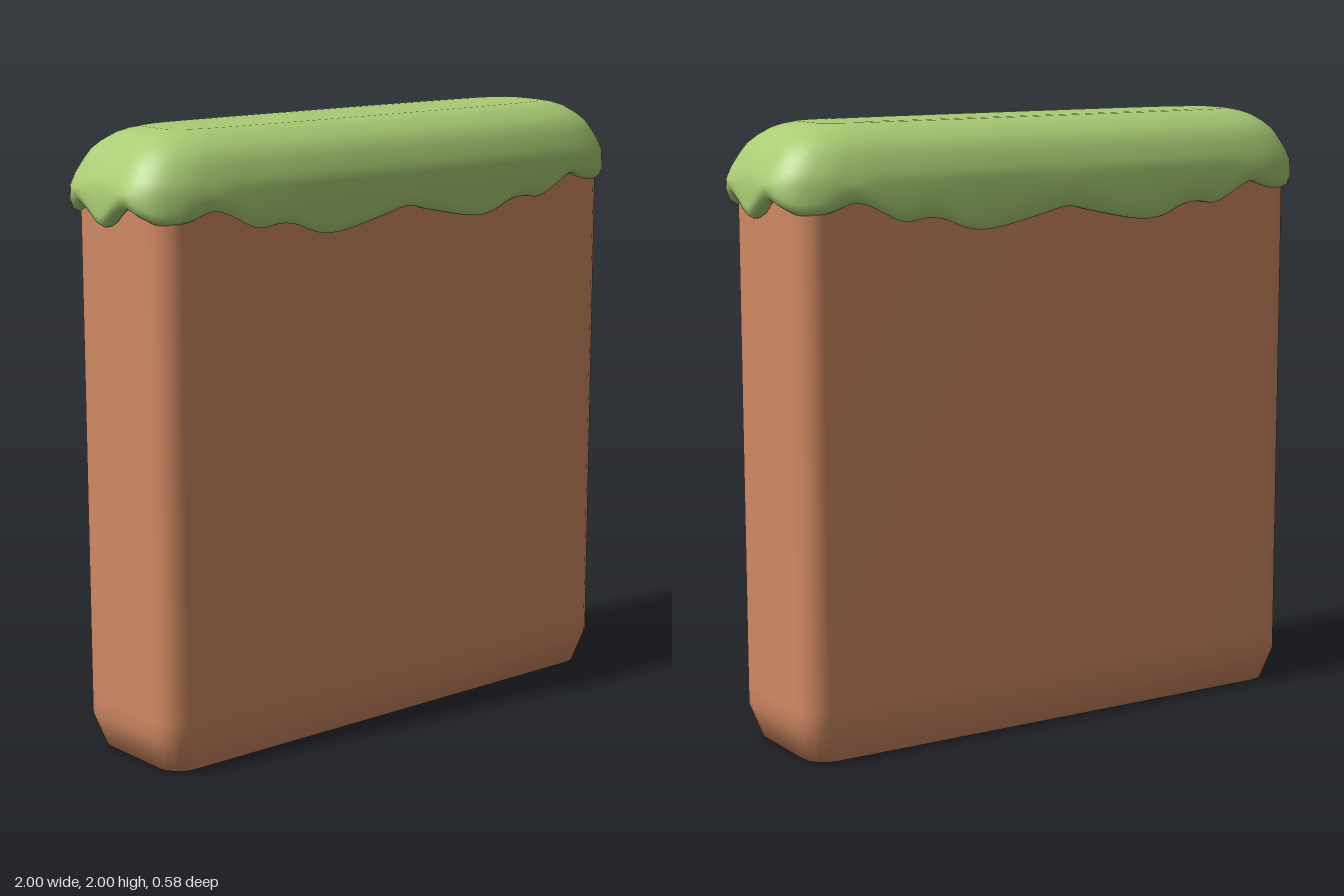
import * as THREE from 'three';

// Skin a stack of equal-length closed rings, listed from the underside to the top.
function loft(rings) {
  const n = rings[0].length;
  const index = [];
  for (let i = 0; i < rings.length - 1; i++) {
    for (let j = 0; j < n; j++) {
      const k = (j + 1) % n;
      const a = i * n + j, b = i * n + k, c = a + n, d = b + n;
      index.push(a, b, d, a, d, c);
    }
  }
  const geometry = new THREE.BufferGeometry();
  geometry.setAttribute('position', new THREE.Float32BufferAttribute(rings.flat(2), 3));
  geometry.setIndex(index);
  geometry.computeVertexNormals();
  return geometry;
}

// Rounded rectangle ring, counterclockwise seen from above.
function roundedRing(hx, hz, r, y) {
  const ring = [];
  [[1, 1], [1, -1], [-1, -1], [-1, 1]].forEach(([sx, sz], q) => {
    for (let i = 0; i <= 4; i++) {
      const a = (q + i / 4) * Math.PI / 2;
      ring.push([sx * (hx - r) + r * Math.sin(a), y, sz * (hz - r) + r * Math.cos(a)]);
    }
  });
  return ring;
}

// Soil slab with softened corners and a tapered foot.
function soilGeometry() {
  return loft([
    roundedRing(0.001, 0.001, 0.001, 0),
    roundedRing(0.8, 0.14, 0.06, 0),
    roundedRing(0.905, 0.212, 0.08, 0.003),
    roundedRing(0.94, 0.237, 0.08, 0.11),
    roundedRing(0.94, 0.237, 0.08, 0.17),
    roundedRing(0.94, 0.237, 0.08, 1.85),
  ]);
}

// One quarter of the grass rim: x, height of the drooping edge, z.
const quarter = [
  [0, 1.72, 0.292], [0.1, 1.7, 0.292], [0.3, 1.664, 0.292], [0.38, 1.67, 0.291],
  [0.47, 1.703, 0.289], [0.53, 1.71, 0.287], [0.61, 1.702, 0.283], [0.77, 1.765, 0.272],
  [0.87, 1.738, 0.255], [0.945, 1.732, 0.22], [0.985, 1.755, 0.17], [0.998, 1.775, 0.125],
  [1, 1.75, 0.07], [1, 1.71, 0],
];

// Grass cap: the rim rolled under at its wavy edge and domed over the top.
function grassGeometry() {
  const right = [...quarter, ...quarter.slice(0, -1).reverse().map(([x, y, z]) => [x, y, -z])];
  const left = right.slice(1, -1).reverse().map(([x, y, z]) => [-x, y, z]);
  const points = [...right, ...left].map((p) => new THREE.Vector3(...p));
  const rim = new THREE.CatmullRomCurve3(points, true, 'centripetal').getSpacedPoints(240).slice(0, -1);
  const ring = (kx, kz, height) => rim.map((p) => [p.x * kx, height(p.y), p.z * kz]);
  const lip = [[0.93, 0.79, 0.015], [0.955, 0.88, 0], [0.975, 0.95, 0], [0.992, 0.98, 0.01], [1, 1, 0.035]];
  const dome = [
    [0.998, 0.992, 1.825], [0.982, 0.965, 1.86], [0.957, 0.915, 1.9], [0.935, 0.865, 1.93],
    [0.905, 0.79, 1.955], [0.865, 0.67, 1.98], [0.83, 0.57, 1.992], [0.79, 0.47, 1.999],
    [0.7, 0.36, 2], [0, 0, 2],
  ];
  return loft([
    ...lip.map(([kx, kz, dy]) => ring(kx, kz, (edge) => edge + dy)),
    ...dome.map(([kx, kz, y]) => ring(kx, kz, () => y)),
  ]);
}

export function createModel() {
  const soil = new THREE.MeshStandardMaterial({ color: 0xd08963 });
  soil.name = 'soil brown';
  const grass = new THREE.MeshStandardMaterial({ color: 0xa9cc74 });
  grass.name = 'grass green';

  const group = new THREE.Group();
  group.name = 'grassBlock';
  const soilBlock = new THREE.Mesh(soilGeometry(), soil);
  soilBlock.name = 'soilBlock';
  const grassCap = new THREE.Mesh(grassGeometry(), grass);
  grassCap.name = 'grassCap';
  group.add(soilBlock, grassCap);
  return group;
}
